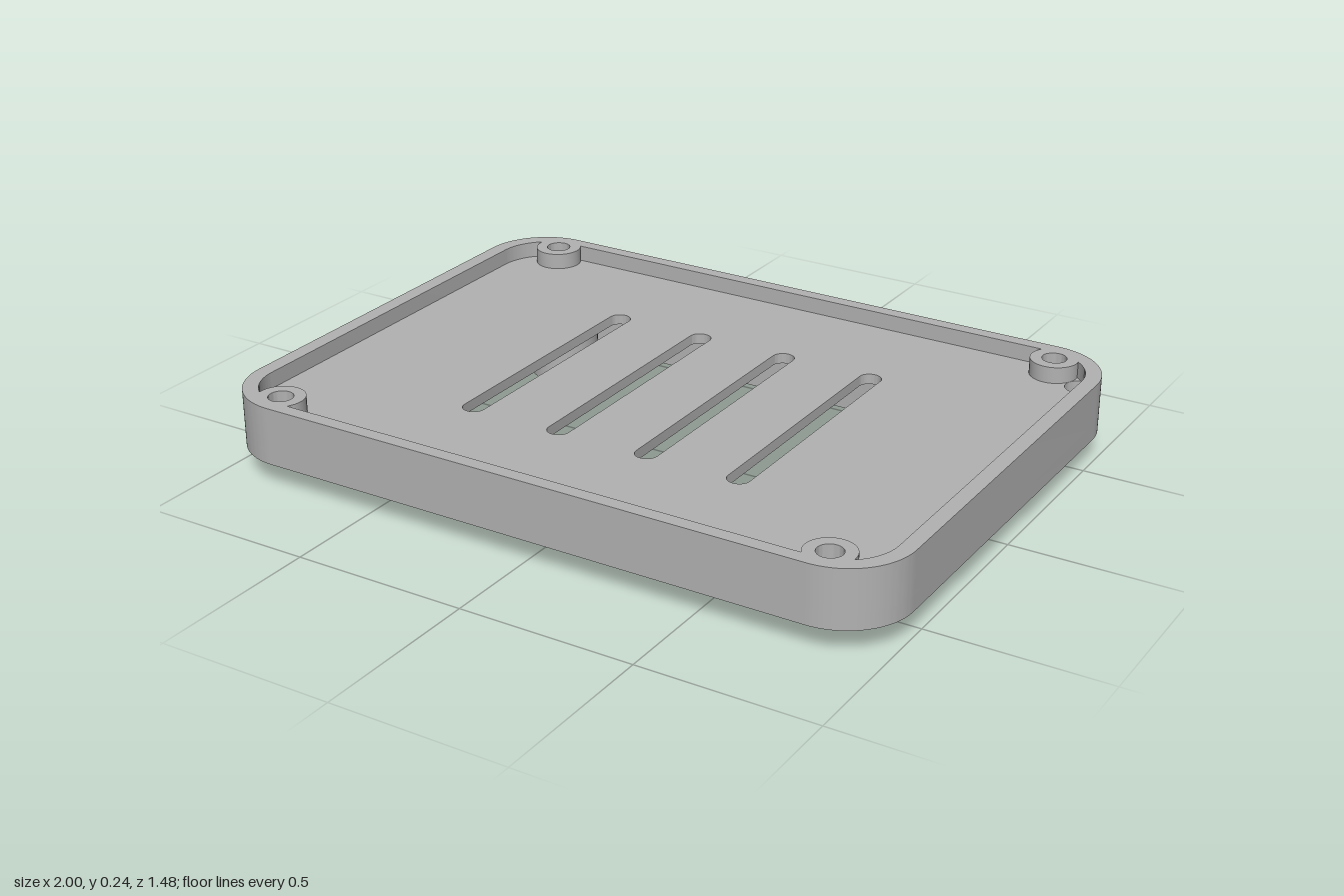
import * as THREE from 'three';
import { toCreasedNormals } from 'three/addons/utils/BufferGeometryUtils.js';

// Rounded rectangle centred on (cx, cy), with half sizes w and h
function roundedRect(w, h, r, cx = 0, cy = 0, Type = THREE.Shape) {
  const s = new Type();
  s.moveTo(cx + w, cy - h + r);
  s.absarc(cx + w - r, cy + h - r, r, 0, Math.PI / 2, false);
  s.absarc(cx - w + r, cy + h - r, r, Math.PI / 2, Math.PI, false);
  s.absarc(cx - w + r, cy - h + r, r, Math.PI, Math.PI * 1.5, false);
  s.absarc(cx + w - r, cy - h + r, r, Math.PI * 1.5, Math.PI * 2, false);
  s.closePath();
  return s;
}

function circle(x, y, r, Type = THREE.Path) {
  const p = new Type();
  p.absarc(x, y, r, 0, Math.PI * 2, false);
  return p;
}

// Plan-view shape raised from y0 to y1 (shape y points to -z)
function slab(shape, y0, y1) {
  const g = new THREE.ExtrudeGeometry(shape, { depth: y1 - y0, bevelEnabled: false, curveSegments: 20 });
  g.rotateX(-Math.PI / 2);
  g.translate(0, y0, 0);
  return toCreasedNormals(g, 0.5);
}

// Closed rectangular band: outer half sizes and radius, inner half sizes and radius
function band(w, h, r, iw, ih, ir, y0, y1) {
  const s = roundedRect(w, h, r);
  s.holes.push(roundedRect(iw, ih, ir, 0, 0, THREE.Path));
  return slab(s, y0, y1);
}

export function createModel() {
  const model = new THREE.Group();
  const grey = new THREE.MeshStandardMaterial({ color: 0xb2b2b2 });
  grey.name = 'grey plastic';
  const add = (name, geometry, x = 0, y = 0, z = 0) => {
    const m = new THREE.Mesh(geometry, grey);
    m.name = name;
    m.position.set(x, y, z);
    model.add(m);
  };
  const corners = [[1, 1], [1, -1], [-1, 1], [-1, -1]];
  const top = 0.237, floorTop = 0.19, floorBottom = 0.16, rimBottom = 0.072, ledge = 0.117;
  const bossX = 0.83, bossZ = 0.66, bossHole = 0.035;

  // Outer wall, thinner along its lower edge
  add('upperRim', band(1, 0.74, 0.19, 0.955, 0.7, 0.15, ledge, top));
  add('lowerRim', band(1, 0.74, 0.19, 0.975, 0.717, 0.167, rimBottom, ledge));

  // Floor with vent slots, screw holes and a cable hole
  const floor = roundedRect(0.98, 0.72, 0.17);
  for (const x of [-0.412, -0.137, 0.137, 0.412]) {
    floor.holes.push(roundedRect(0.032, 0.393, 0.0315, x, 0, THREE.Path));
  }
  for (const [sx, sz] of corners) floor.holes.push(circle(sx * bossX, sz * bossZ, bossHole));
  floor.holes.push(circle(0.928, 0.612, 0.041));
  add('floor', slab(floor, floorBottom, floorTop));

  // Screw bosses in the corners
  const boss = circle(0, 0, 0.068, THREE.Shape);
  boss.holes.push(circle(0, 0, bossHole));
  const bossGeometry = slab(boss, floorTop - 0.005, top);
  for (const [sx, sz] of corners) add('screwBoss', bossGeometry, sx * bossX, 0, sz * bossZ);

  // Stepped frame under the floor
  add('frameBase', band(0.755, 0.5, 0.06, 0.695, 0.44, 0.02, 0.1, floorBottom + 0.005));
  add('frameLip', band(0.735, 0.48, 0.04, 0.695, 0.44, 0.02, 0.042, 0.1));

  // Round feet with a shallow recess underneath
  const profile = [[0, 0.03], [0.088, 0.03], [0.088, 0], [0.098, 0], [0.098, floorBottom + 0.005]];
  const foot = toCreasedNormals(
    new THREE.LatheGeometry(profile.map(([r, y]) => new THREE.Vector2(r, y)), 40), 0.5);
  for (const [sx, sz] of corners) add('foot', foot, sx * 0.59, 0, sz * 0.335);

  return model;
}
